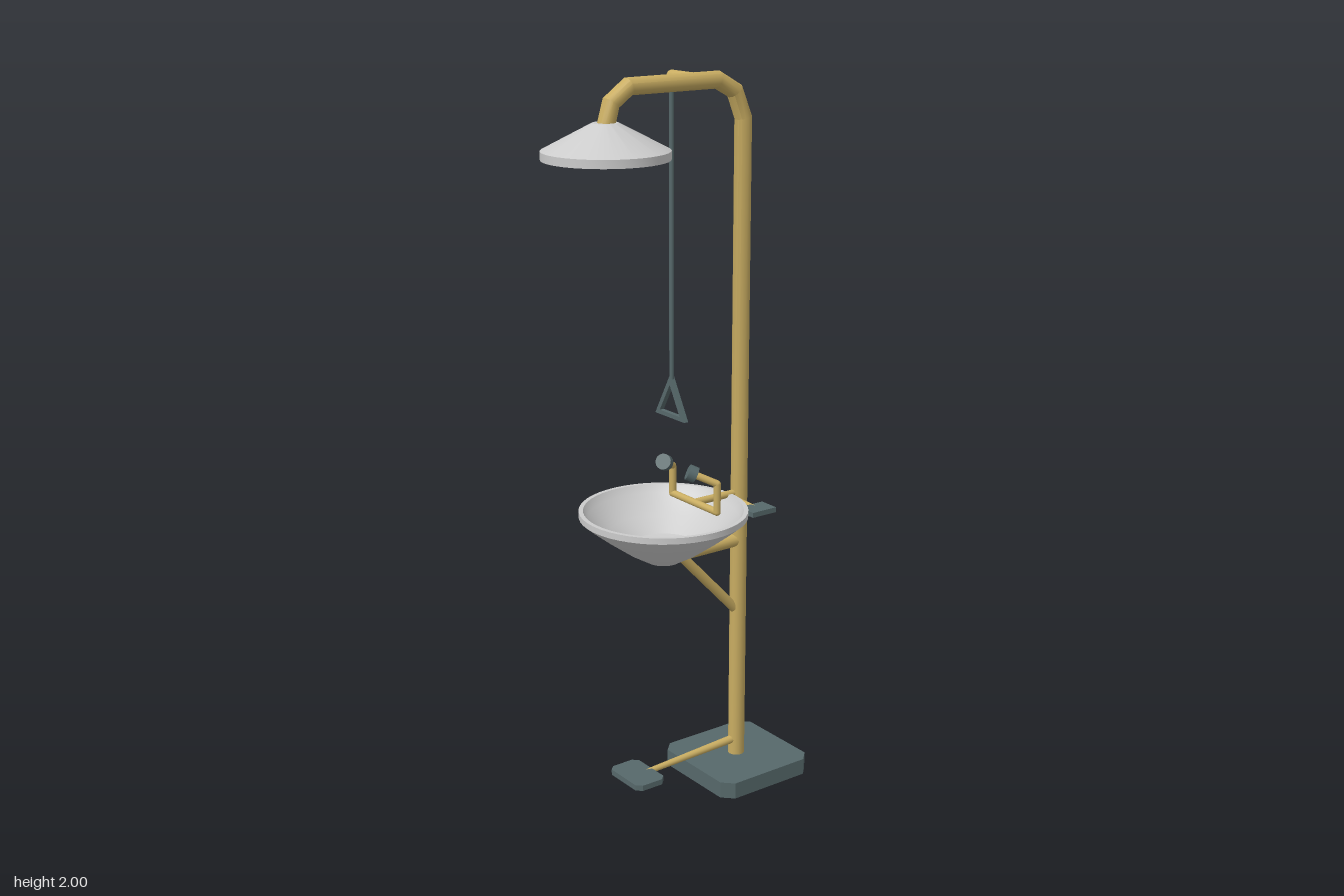
import * as THREE from 'three';
import { toCreasedNormals } from 'three/addons/utils/BufferGeometryUtils.js';

const brass = new THREE.MeshStandardMaterial({ color: 0xc9ad62 });
const dark = new THREE.MeshStandardMaterial({ color: 0x56686a });
const grey = new THREE.MeshStandardMaterial({ color: 0xcccccc });
const V = (x, y, z) => new THREE.Vector3(x, y, z);

// Path that steps exactly from corner to corner, so pipes get mitred bends
class CornerPath extends THREE.Curve {
  constructor(points) { super(); this.points = points; }
  getPointAt(u) { return this.points[Math.round(u * (this.points.length - 1))].clone(); }
  getTangentAt(u) {
    const p = this.points, i = Math.round(u * (p.length - 1));
    const t = V(0, 0, 0);
    if (i > 0) t.add(p[i].clone().sub(p[i - 1]).normalize());
    if (i < p.length - 1) t.add(p[i + 1].clone().sub(p[i]).normalize());
    return t.normalize();
  }
}

export function createModel() {
  const model = new THREE.Group();
  model.name = 'emergencyShower';

  const add = (name, geometry, material, x = 0, y = 0, z = 0) => {
    const mesh = new THREE.Mesh(geometry, material);
    mesh.name = name;
    mesh.position.set(x, y, z);
    model.add(mesh);
    return mesh;
  };

  // Straight round bar from a to b, optionally tapered
  const bar = (name, a, b, r, material = brass, rEnd = r) => {
    const dir = b.clone().sub(a);
    const mesh = add(name, new THREE.CylinderGeometry(rEnd, r, dir.length(), 16), material);
    mesh.position.copy(a).add(b).multiplyScalar(0.5);
    mesh.quaternion.setFromUnitVectors(V(0, 1, 0), dir.normalize());
    return mesh;
  };

  // Flat plate with chamfered corners, lying on y
  const plate = (name, w, d, h, c, x, y, z) => {
    const X = w / 2, Z = d / 2;
    const corners = [[X, Z - c], [X - c, Z], [c - X, Z], [-X, Z - c],
      [-X, c - Z], [c - X, -Z], [X - c, -Z], [X, c - Z]];
    const shape = new THREE.Shape(corners.map(([a, b]) => new THREE.Vector2(a, b)));
    const g = new THREE.ExtrudeGeometry(shape, { depth: h, bevelEnabled: false });
    g.rotateX(-Math.PI / 2);
    return add(name, g, dark, x, y, z);
  };

  const lathe = (name, profile, sides, x, y, z) => {
    const g = new THREE.LatheGeometry(profile.map(([r, h]) => new THREE.Vector2(r, h)), sides);
    return add(name, toCreasedNormals(g, 0.4), grey, x, y, z);
  };

  // Base and standpipe with overhead bend
  plate('base', 0.31, 0.31, 0.047, 0.03, 0, 0, -0.222);
  const pipe = new CornerPath([
    V(0, 0.03, -0.222), V(0, 1.875, -0.222), V(0, 1.945, -0.193), V(0, 1.977, -0.135),
    V(0, 1.977, 0.143), V(0, 1.94, 0.196), V(0, 1.88, 0.213)]);
  add('standpipe', toCreasedNormals(new THREE.TubeGeometry(pipe, 6, 0.0235, 16), 0.45), brass);

  // Shower head, hollow below, with nozzle
  lathe('showerHead', [[0, 0.078], [0.03, 0.078], [0.152, 0.02], [0.155, 0], [0.164, 0],
    [0.164, 0.022], [0.034, 0.09], [0, 0.09]], 40, 0, 1.803, 0.213);
  bar('showerNozzle', V(0, 1.89, 0.213), V(0, 1.855, 0.213), 0.024);

  // Pull rod with triangular handle
  bar('pullArm', V(0, 1.977, -0.093), V(-0.14, 1.977, -0.093), 0.017);
  bar('pullRod', V(-0.14, 1.977, -0.093), V(-0.14, 1.155, -0.093), 0.0065, dark);
  const triangle = (k) => [[0, 1.17 - 0.027 * k], [-0.067 + 0.021 * k, 1.05 + 0.012 * k],
    [0.067 - 0.021 * k, 1.05 + 0.012 * k]].map(([x, y]) => new THREE.Vector2(x, y));
  const handle = new THREE.Shape(triangle(0));
  handle.holes.push(new THREE.Path(triangle(1)));
  add('pullHandle', new THREE.ExtrudeGeometry(handle, { depth: 0.014, bevelEnabled: false }),
    dark, -0.14, 0, -0.1);

  // Eyewash bowl
  lathe('bowl', [[0, 0], [0.045, 0], [0.1, 0.032], [0.16, 0.075], [0.205, 0.11], [0.229, 0.13],
    [0.229, 0.147], [0.217, 0.147], [0.205, 0.126], [0.15, 0.078], [0.097, 0.042], [0, 0.028]],
  48, 0, 0.7, 0.038);

  // Bowl bracket and diagonal brace
  bar('bowlArm', V(0, 0.705, -0.222), V(0, 0.705, 0.04), 0.019);
  bar('bowlBrace', V(0, 0.495, -0.215), V(0, 0.695, -0.025), 0.014);

  // Eyewash feed, crossbar and a pair of spouts
  bar('eyewashFeed', V(0, 0.845, -0.222), V(0, 0.845, -0.067), 0.01);
  bar('eyewashCrossbar', V(-0.1, 0.845, -0.067), V(0.1, 0.845, -0.067), 0.01);
  for (const s of [-1, 1]) {
    const low = V(s * 0.1, 0.845, -0.067), bend = V(s * 0.1, 0.925, -0.067);
    const tip = V(s * 0.068, 0.95, -0.02), end = V(s * 0.056, 0.96, -0.002);
    bar('spoutRiser', low, bend, 0.01);
    bar('spoutNeck', bend, tip, 0.01);
    for (const p of [low, bend]) add('spoutElbow', new THREE.SphereGeometry(0.01, 16, 10), brass, p.x, p.y, p.z);
    bar('spoutHead', tip, end, 0.022, dark);
  }

  // Hand lever with push plate
  bar('handLever', V(0, 0.83, -0.198), V(0.103, 0.83, -0.198), 0.01, brass, 0.007);
  add('pushPlate', new THREE.BoxGeometry(0.06, 0.014, 0.08), dark, 0.116, 0.83, -0.195);

  // Foot pedal
  bar('pedalRod', V(0, 0.092, -0.215), V(0, 0.079, 0.1), 0.012, brass, 0.008);
  plate('pedal', 0.145, 0.095, 0.016, 0.015, 0, 0.071, 0.13);

  return model;
}
